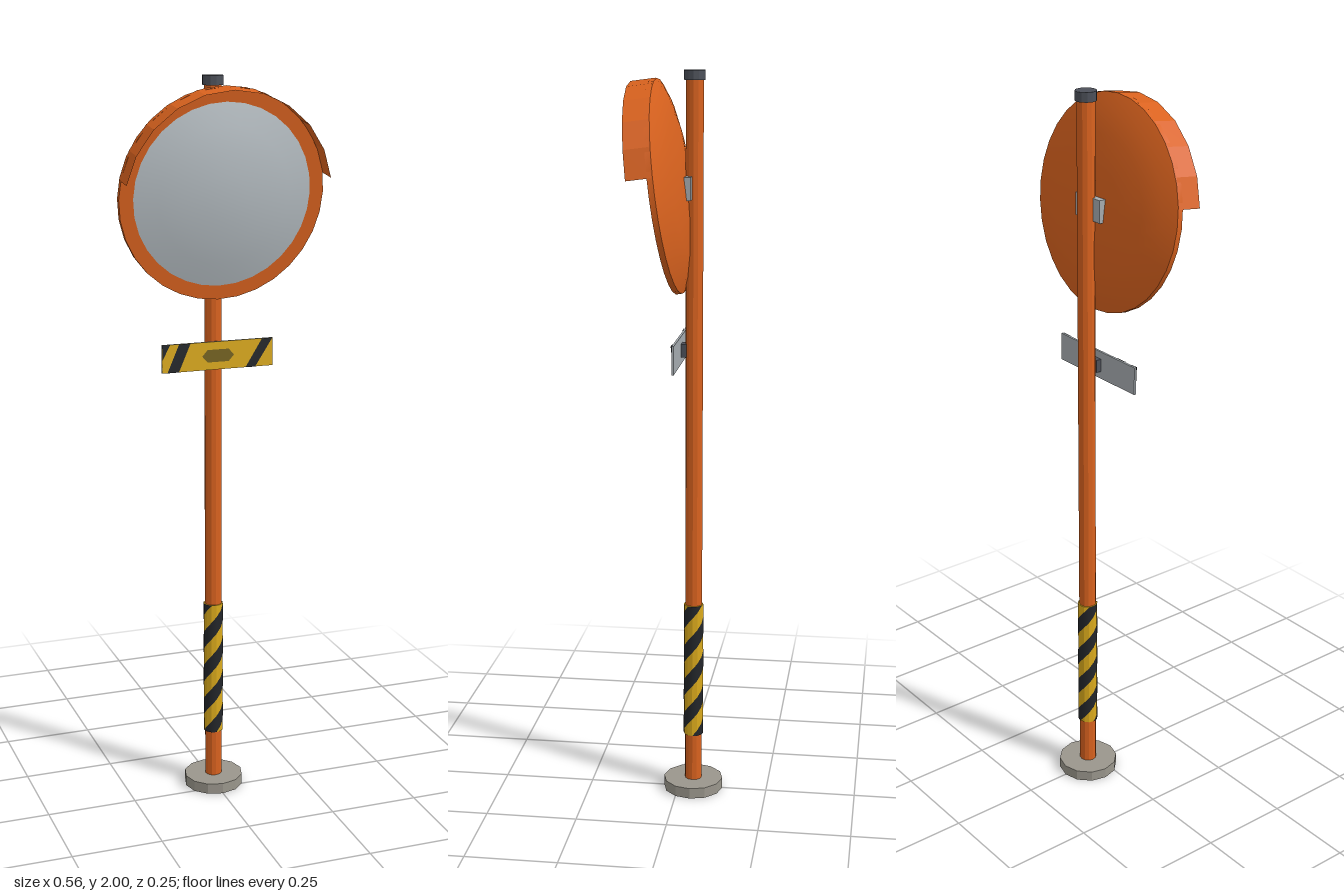
import * as THREE from 'three';
import { toCreasedNormals } from 'three/addons/utils/BufferGeometryUtils.js';
import { ParametricGeometry } from 'three/addons/geometries/ParametricGeometry.js';

const POLE_Z = -0.042;

export function createModel() {
  const model = new THREE.Group();
  model.name = 'roadMirror';

  const mat = (name, color, extra = {}) => {
    const m = new THREE.MeshStandardMaterial({ color, ...extra });
    m.name = name;
    return m;
  };
  const orange = mat('orange', 0xd9621e, { side: THREE.DoubleSide });
  const glass = mat('mirrorGrey', 0xb9c1c6);
  const steel = mat('steel', 0xa6acb0);
  const concrete = mat('concrete', 0x9a968c);
  const capGrey = mat('capGrey', 0x4c5059);
  const yellow = mat('yellow', 0xdcab1c);
  const black = mat('black', 0x23262a, { side: THREE.DoubleSide });
  const olive = mat('olive', 0x75631f);

  const add = (parent, name, geometry, material, x = 0, y = 0, z = 0) => {
    const mesh = new THREE.Mesh(geometry, material);
    mesh.name = name;
    mesh.position.set(x, y, z);
    parent.add(mesh);
    return mesh;
  };
  // Upright cylinder around the pole axis, from y0 to y1
  const column = (name, r, y0, y1, material) =>
    add(model, name, toCreasedNormals(new THREE.CylinderGeometry(r, r, y1 - y0, 12), 0.4),
      material, 0, (y0 + y1) / 2, POLE_Z);
  const polygon = (pts) => new THREE.ShapeGeometry(new THREE.Shape(pts.map(([x, y]) => new THREE.Vector2(x, y))));

  // Post
  column('base', 0.083, 0, 0.03, concrete);
  column('pole', 0.0235, 0.005, 1.98, orange);
  column('poleCap', 0.028, 1.975, 2, capGrey);

  // Warning sleeve with spiral stripes, clipped to the sleeve's ends
  const low = 0.165, high = 0.55, spacing = 0.1;
  column('warningSleeve', 0.027, low, high, yellow);
  const spiral = new THREE.Group();
  spiral.name = 'sleeveStripes';
  model.add(spiral);
  for (let k = -2; k < 4; k++) {
    const stripe = new ParametricGeometry((u, v, p) => {
      const a = u * Math.PI * 2;
      const y = low + spacing * (k + 2 * u + 0.5 * v);
      p.set(0.0276 * Math.sin(a), THREE.MathUtils.clamp(y, low, high), 0.0276 * Math.cos(a));
    }, 12, 4);
    add(spiral, 'sleeveStripe', stripe, black, 0, 0, POLE_Z);
  }

  // Sign plate: steel back, yellow face, black end stripes and a centre mark
  const sign = new THREE.Group();
  sign.name = 'signPlate';
  sign.position.set(0, 1.2675, 0);
  model.add(sign);
  add(sign, 'plateBack', new THREE.BoxGeometry(0.314, 0.076, 0.006), steel, 0, 0, -0.005);
  add(sign, 'plateFace', new THREE.PlaneGeometry(0.314, 0.076), yellow, 0, 0, -0.0015);
  add(sign, 'plateMount', new THREE.BoxGeometry(0.035, 0.035, 0.016), capGrey, 0, 0, -0.015);
  const h = 0.038;
  [
    [[-0.143, -h], [-0.111, -h], [-0.078, h], [-0.11, h]],
    [[-0.157, -0.004], [-0.135, h], [-0.157, h]],
    [[0.078, -h], [0.106, -h], [0.155, h], [0.125, h]],
  ].forEach((pts) => add(sign, 'plateStripe', polygon(pts), black, 0, 0, 0));
  add(sign, 'plateMark', polygon([[-0.045, 0], [-0.03, -0.017], [0.03, -0.017], [0.045, 0], [0.03, 0.017], [-0.03, 0.017]]), olive);

  // Mirror head, tilted forward
  const head = new THREE.Group();
  head.name = 'mirrorHead';
  head.position.set(0, 1.7, 0.024);
  head.rotation.x = 0.13;
  model.add(head);
  const disc = (name, pts, material) => {
    const g = new THREE.LatheGeometry(pts.map(([r, z]) => new THREE.Vector2(r, z)), 32);
    g.rotateX(Math.PI / 2);
    add(head, name, toCreasedNormals(g, 0.6), material);
  };
  disc('dishShell', [[0, -0.05], [0.1, -0.045], [0.18, -0.034], [0.24, -0.02], [0.281, -0.003],
    [0.281, 0.012], [0.24, 0.012]], orange);
  disc('mirrorFace', [[0.243, 0.0125], [0.18, 0.027], [0.12, 0.037], [0.06, 0.043], [0, 0.045]], glass);

  // Sun hood: open arc over the top of the rim
  const arc = THREE.MathUtils.degToRad(160);
  const hood = new THREE.CylinderGeometry(0.282, 0.282, 0.066, 10, 1, true, Math.PI - arc / 2, arc);
  hood.rotateX(Math.PI / 2);
  add(head, 'sunHood', toCreasedNormals(hood, 0.1), orange, 0, 0, 0.033);

  // Bracket between dish and pole
  add(model, 'mirrorBracket', new THREE.BoxGeometry(0.1, 0.06, 0.018), steel, 0, 1.7, -0.029);

  return model;
}
